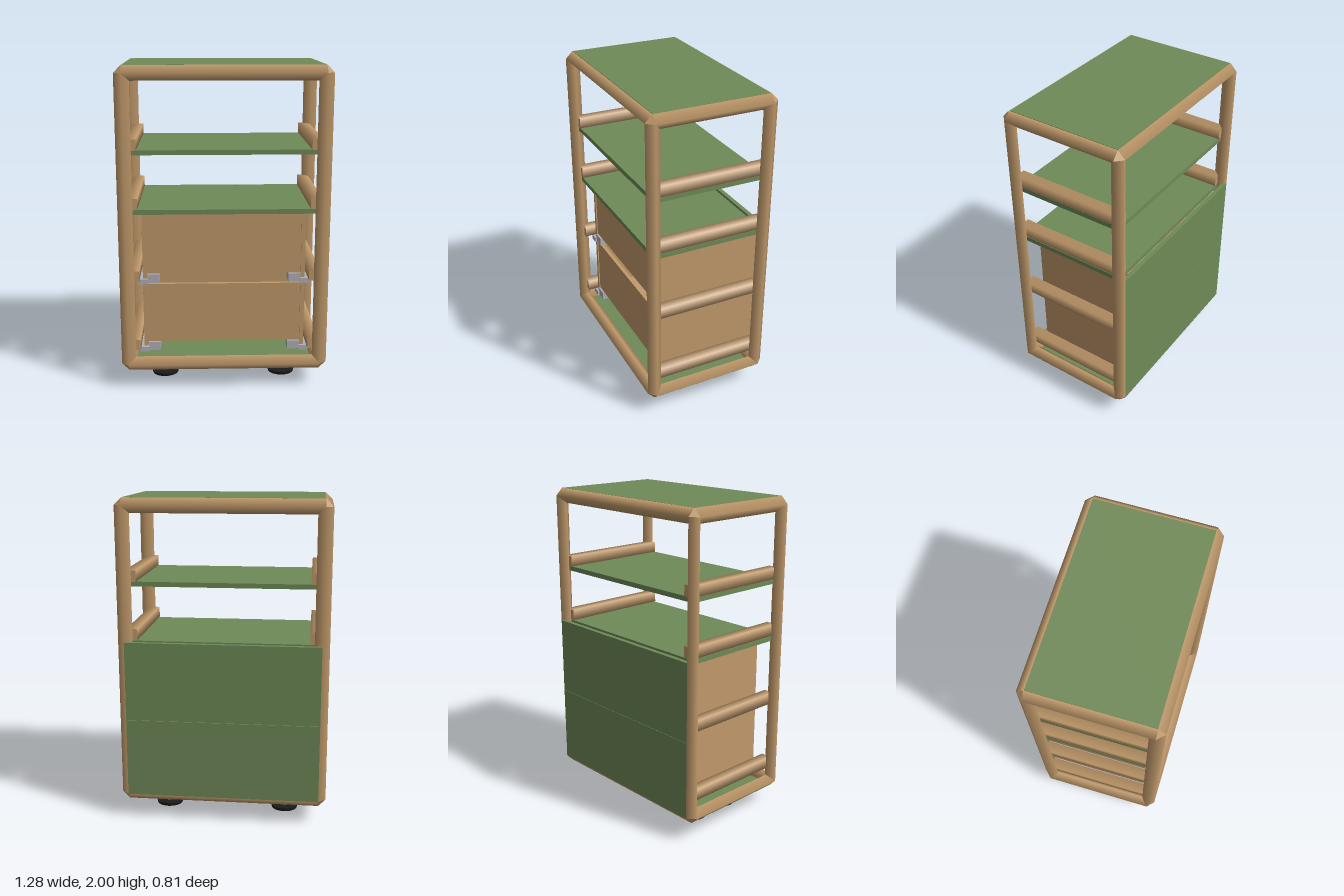
import * as THREE from 'three';

const mat = (color) => new THREE.MeshStandardMaterial({ color });
const wood = mat(0xc19a6b), green = mat(0x6f8a57), steel = mat(0xb0b0b8), black = mat(0x1c1c1c);

// Corner centres of the frame and half-diagonal of its bars
const CX = 0.595, CZ = 0.36, Y0 = 0.16, Y1 = 1.955, R = 0.045;

export function createModel() {
  const root = new THREE.Group();

  const add = (parent, name, geo, material, x = 0, y = 0, z = 0) => {
    const mesh = new THREE.Mesh(geo, material);
    mesh.name = name;
    mesh.position.set(x, y, z);
    parent.add(mesh);
    return mesh;
  };
  // Box given by its limits on each axis
  const box = (parent, name, material, x0, x1, y0, y1, z0, z1) =>
    add(parent, name, new THREE.BoxGeometry(x1 - x0, y1 - y0, z1 - z0), material,
      (x0 + x1) / 2, (y0 + y1) / 2, (z0 + z1) / 2);
  const group = (name) => {
    const g = new THREE.Group();
    g.name = name;
    root.add(g);
    return g;
  };
  const bar = (length) => new THREE.CylinderGeometry(R, R, length, 4);

  // Diamond-section frame: four posts, eight cross bars, eight corner joints
  const frame = group('frame');
  for (const sx of [-1, 1]) {
    for (const sz of [-1, 1]) {
      add(frame, 'post', bar(Y1 - Y0), wood, sx * CX, (Y0 + Y1) / 2, sz * CZ);
      for (const y of [Y0, Y1])
        add(frame, 'cornerJoint', new THREE.OctahedronGeometry(R), wood, sx * CX, y, sz * CZ);
    }
    for (const y of [Y0, Y1]) {
      add(frame, 'sideBar', bar(2 * CZ).rotateX(Math.PI / 2), wood, sx * CX, y, 0);
      add(frame, 'longBar', bar(2 * CX).rotateZ(Math.PI / 2), wood, 0, y, sx * CZ);
    }
  }

  // Top and bottom boards flush with the frame
  box(root, 'topBoard', green, -0.592, 0.592, 1.972, 2, -0.357, 0.357);
  box(root, 'bottomBoard', green, -0.592, 0.592, 0.115, 0.143, -0.357, 0.357);

  // Shelves
  for (const y of [1.476, 1.115])
    box(root, 'shelf', green, -0.59, 0.59, y, y + 0.029, -0.357, 0.357);

  // Square side rails
  for (const y of [1.537, 1.181, 0.728, 0.281])
    for (const s of [-1, 1]) {
      const h = 0.034;
      const geo = new THREE.CylinderGeometry(h * Math.SQRT2, h * Math.SQRT2, 2 * CZ, 4)
        .rotateY(Math.PI / 4).rotateX(Math.PI / 2);
      add(root, 'sideRail', geo, wood, s * 0.555, y, 0);
    }

  // Drawers: open box, runners, and a green face on the back side
  [[0.249, 0.656, Y0, 0.649], [0.695, 1.111, 0.651, 1.14]].forEach(([y0, y1, f0, f1]) => {
    const drawer = group('drawer');
    box(drawer, 'drawerFace', green, -CX, CX, f0, f1, -0.405, -0.377);
    box(drawer, 'drawerFloor', wood, -0.477, 0.477, y0 + 0.028, y0 + 0.044, -0.377, 0.288);
    for (const [z0, z1] of [[0.265, 0.288], [-0.377, -0.354]])
      box(drawer, 'drawerEnd', wood, -0.477, 0.477, y0 + 0.044, y1, z0, z1);
    for (const s of [-1, 1]) {
      const side = (name, m, a, b, ...rest) =>
        box(drawer, name, m, Math.min(s * a, s * b), Math.max(s * a, s * b), ...rest);
      side('drawerSide', wood, 0.477, 0.502, y0, y1, -0.377, 0.295);
      side('outerRunner', steel, 0.47, 0.53, y0 - 0.034, y0 - 0.002, -0.165, 0.31);
      side('innerRunner', steel, 0.475, 0.515, y0 - 0.025, y0 - 0.002, -0.36, -0.165);
      side('runnerClip', steel, 0.4, 0.475, y0 - 0.028, y0 + 0.026, 0.2, 0.3);
    }
  });

  // Four levelling feet: plate, stem and round pad
  for (const x of [-0.378, 0.378])
    for (const z of [-0.13, 0.13]) {
      const foot = group('foot');
      foot.position.set(x, 0, z);
      box(foot, 'footPlate', black, -0.0875, 0.0875, 0.104, 0.116, -0.1, 0.1);
      add(foot, 'footStem', new THREE.CylinderGeometry(0.028, 0.028, 0.09, 24), steel, 0, 0.061, 0);
      add(foot, 'footPad', new THREE.CylinderGeometry(0.0875, 0.082, 0.02, 32), black, 0, 0.01, 0);
    }

  return root;
}
